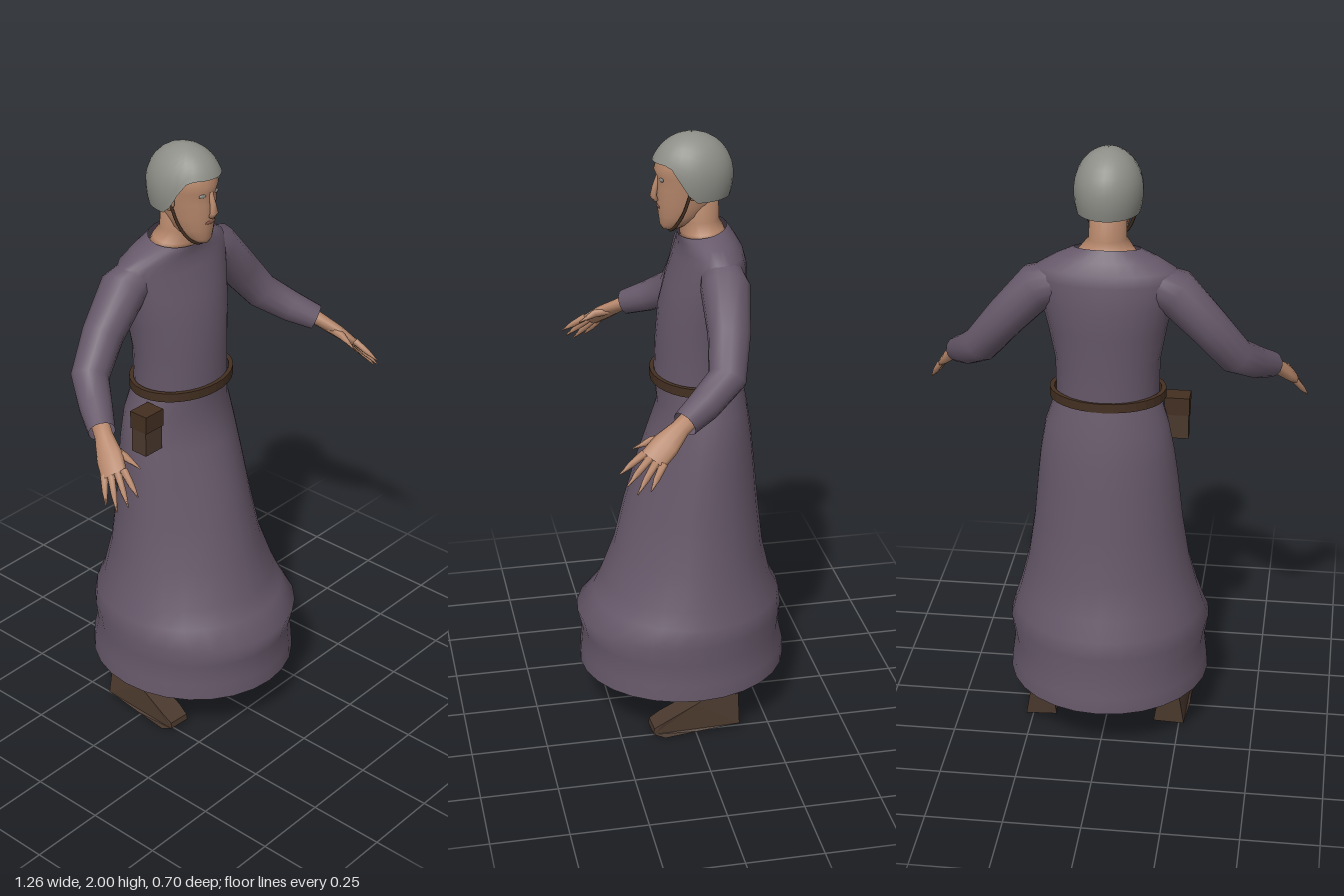
import * as THREE from 'three';

const V = (x, y, z) => new THREE.Vector3(x, y, z);
const mat = (name, color, side = THREE.FrontSide) => {
  const m = new THREE.MeshStandardMaterial({ color, side });
  m.name = name;
  return m;
};

// Skin a list of equal-length point rings, optionally closing both ends
function loft(rings, capped = false) {
  const n = rings[0].length, pos = [], idx = [];
  rings.forEach(r => r.forEach(p => pos.push(p.x, p.y, p.z)));
  for (let i = 0; i < rings.length - 1; i++) {
    for (let j = 0; j < n; j++) {
      const k = (j + 1) % n, a = i * n + j, b = i * n + k;
      idx.push(a, b, b + n, a, b + n, a + n);
    }
  }
  if (capped) {
    [0, rings.length - 1].forEach(i => {
      const c = rings[i].reduce((s, p) => s.add(p), V(0, 0, 0)).divideScalar(n);
      const ci = pos.length / 3;
      pos.push(c.x, c.y, c.z);
      for (let j = 0; j < n; j++) {
        const a = i * n + j, b = i * n + (j + 1) % n;
        if (i === 0) idx.push(ci, b, a); else idx.push(ci, a, b);
      }
    });
  }
  const g = new THREE.BufferGeometry();
  g.setAttribute('position', new THREE.Float32BufferAttribute(pos, 3));
  g.setIndex(idx);
  g.computeVertexNormals();
  return g;
}

// Level body section: half width, front z, back z, back-to-front tilt, front fold depth
function section([y, hx, zf, zb, tilt = 0, fold = 0], n = 28) {
  return Array.from({ length: n }, (_, j) => {
    const a = j / n * Math.PI * 2, s = Math.sin(a);
    const k = s < 0 ? 1 - fold * Math.sin(2 * a) ** 2 : 1;
    return V(hx * k * Math.cos(a), y + tilt * s, (zf + zb) / 2 - (zf - zb) / 2 * k * s);
  });
}
const body = (rows, capped, n) => loft(rows.map(r => section(r, n)), capped);

// Limb along points [x, y, z, radiusAlongSide, radiusAcross]
function limb(pts, side, n, capped) {
  const c = pts.map(p => V(p[0], p[1], p[2]));
  return loft(pts.map((p, i) => {
    const t = c[Math.min(i + 1, c.length - 1)].clone().sub(c[Math.max(i - 1, 0)]).normalize();
    const b = t.clone().cross(side).normalize(), a = b.clone().cross(t);
    return Array.from({ length: n }, (_, j) => {
      const u = j / n * Math.PI * 2;
      return c[i].clone().addScaledVector(a, p[3] * Math.cos(u)).addScaledVector(b, (p[4] ?? p[3]) * Math.sin(u));
    });
  }), capped);
}

export function createModel() {
  const model = new THREE.Group();
  const cloth = mat('plum cloth', 0x665869, THREE.DoubleSide);
  const skin = mat('skin', 0xb5866a);
  const capCloth = mat('grey cap', 0x8d8e87, THREE.DoubleSide);
  const leather = mat('belt leather', 0x432f21);
  const shoeLeather = mat('shoe leather', 0x4a382d);
  const eyeMat = mat('eye grey', 0x8b8a86);
  const lipMat = mat('lips', 0x8a5a4b);
  const add = (name, geo, material, parent = model) => {
    const m = new THREE.Mesh(geo, material);
    m.name = name;
    parent.add(m);
    return m;
  };

  // Long gown
  add('skirt', body([
    [0.165, 0.335, 0.345, -0.35], [0.22, 0.331, 0.342, -0.348], [0.29, 0.322, 0.335, -0.332],
    [0.36, 0.335, 0.352, -0.338], [0.42, 0.318, 0.295, -0.33], [0.48, 0.298, 0.27, -0.3, 0, 0.03],
    [0.6, 0.268, 0.225, -0.272, 0, 0.06], [0.75, 0.245, 0.19, -0.255, 0, 0.08],
    [0.9, 0.23, 0.145, -0.24, 0, 0.08], [1.0, 0.218, 0.11, -0.23, 0, 0.06],
    [1.1, 0.2, 0.075, -0.215, 0, 0.03], [1.2, 0.165, 0.085, -0.195],
  ]), cloth);
  add('bodice', body([
    [1.2, 0.165, 0.085, -0.195], [1.32, 0.168, 0.08, -0.195], [1.43, 0.188, 0.07, -0.205],
    [1.52, 0.208, 0.045, -0.208], [1.6, 0.228, 0.015, -0.2], [1.635, 0.22, 0.005, -0.19],
    [1.665, 0.165, 0.006, -0.17, 0.005], [1.69, 0.105, 0.008, -0.145, 0.015],
  ]), cloth);

  // Belt and pouch
  const band = new THREE.Shape().absellipse(0, 0, 0.187, 0.15, 0, Math.PI * 2);
  band.holes.push(new THREE.Path().absellipse(0, 0, 0.172, 0.137, 0, Math.PI * 2, true));
  const beltGeo = new THREE.ExtrudeGeometry(band, { depth: 0.03, bevelEnabled: false, curveSegments: 16 });
  beltGeo.rotateX(-Math.PI / 2).translate(0, 1.185, -0.052);
  add('belt', beltGeo, leather);
  const pouch = new THREE.Group();
  pouch.name = 'pouch';
  pouch.position.set(-0.22, 1.1, 0);
  model.add(pouch);
  add('pouchBag', new THREE.BoxGeometry(0.076, 0.14, 0.06), shoeLeather, pouch);
  add('pouchFlap', new THREE.BoxGeometry(0.08, 0.06, 0.068), leather, pouch).position.y = 0.043;

  // Head and neck
  add('neck', body([
    [1.66, 0.11, 0.0, -0.15], [1.69, 0.085, 0.0, -0.135, 0.008], [1.72, 0.06, 0.0, -0.122],
    [1.83, 0.058, 0.02, -0.12],
  ], true, 20), skin);
  add('head', body([
    [1.695, 0.022, 0.058, 0.0], [1.71, 0.04, 0.066, -0.03], [1.74, 0.057, 0.07, -0.08],
    [1.78, 0.067, 0.075, -0.115], [1.83, 0.074, 0.076, -0.135], [1.865, 0.078, 0.075, -0.14],
    [1.89, 0.079, 0.084, -0.14], [1.94, 0.07, 0.07, -0.12], [1.97, 0.04, 0.03, -0.08],
  ], true, 20), skin);
  add('nose', limb([
    [0, 1.87, 0.068, 0.008], [0, 1.83, 0.08, 0.01], [0, 1.802, 0.086, 0.015, 0.011],
    [0, 1.787, 0.076, 0.013, 0.008],
  ], V(1, 0, 0), 8, true), skin);
  const lips = add('lips', new THREE.SphereGeometry(1, 10, 6), lipMat);
  lips.scale.set(0.024, 0.006, 0.004);
  lips.position.set(0, 1.768, 0.071);
  for (const s of [-1, 1]) {
    const eye = add('eye', new THREE.SphereGeometry(1, 10, 6), eyeMat);
    eye.scale.set(0.013, 0.006, 0.004);
    eye.position.set(s * 0.032, 1.86, 0.066);
    eye.rotation.y = s * 0.35;
    const ear = add('ear', new THREE.SphereGeometry(1, 10, 8), skin);
    ear.scale.set(0.012, 0.032, 0.02);
    ear.position.set(s * 0.082, 1.835, -0.025);
  }

  // Close-fitting cap: brow edge in front, reaching down over ears and nape
  const capRings = [];
  for (let i = 0; i <= 10; i++) {
    capRings.push(Array.from({ length: 28 }, (_, j) => {
      const a = j / 28 * Math.PI * 2, f = Math.sin(a);
      const edge = 1.8 + 0.115 * THREE.MathUtils.smoothstep(f, 0, 0.75);
      const phi = Math.max(0.01, (1 - i / 10) * Math.acos((edge - 1.87) / 0.13));
      const r = phi < Math.PI / 2 ? Math.sin(phi) : 1 - 0.25 * (phi - Math.PI / 2) ** 2;
      return V(0.108 * r * Math.cos(a), 1.87 + 0.13 * Math.cos(phi), -0.035 + 0.131 * r * f);
    }).reverse());
  }
  add('cap', loft(capRings), capCloth);
  const strap = new THREE.CatmullRomCurve3([
    V(-0.088, 1.83, -0.015), V(-0.073, 1.76, 0.005), V(-0.045, 1.708, 0.028), V(0, 1.688, 0.035),
    V(0.045, 1.708, 0.028), V(0.073, 1.76, 0.005), V(0.088, 1.83, -0.015),
  ]);
  add('chinStrap', new THREE.TubeGeometry(strap, 24, 0.005, 6), leather);

  for (const s of [-1, 1]) {
    // Sleeve
    add('sleeve', limb([
      [0.12, 1.6, -0.1, 0.06], [0.215, 1.565, -0.097, 0.078, 0.074], [0.32, 1.45, -0.087, 0.066],
      [0.405, 1.345, -0.063, 0.06], [0.465, 1.29, 0.02, 0.052], [0.513, 1.255, 0.09, 0.042],
    ].map(([x, ...p]) => [s * x, ...p]), V(0, 0.3, 1), 14), cloth);

    // Hand with spread, pointed fingers
    const hand = new THREE.Group();
    hand.name = 'hand';
    model.add(hand);
    const across = V(s * 0.05, -0.04, -0.085).normalize();
    const part = (name, pts, n) =>
      add(name, limb(pts.map(([x, ...p]) => [s * x, ...p]), across, n, true), skin, hand);
    part('palm', [
      [0.49, 1.275, 0.055, 0.03, 0.028], [0.52, 1.245, 0.105, 0.03, 0.023],
      [0.55, 1.21, 0.155, 0.043, 0.02], [0.577, 1.175, 0.2, 0.043, 0.014],
    ], 10);
    const tips = [[0.58, 1.14, 0.3], [0.605, 1.11, 0.283], [0.625, 1.09, 0.255], [0.63, 1.1, 0.215]];
    tips.forEach((tip, i) => {
      const base = V(0.574, 1.18, 0.195).addScaledVector(V(0.05, -0.04, -0.085).normalize(), (i - 1.5) * 0.022);
      const mid = base.clone().lerp(V(...tip), 0.55);
      part('finger', [[...base.toArray(), 0.013, 0.012], [...mid.toArray(), 0.01], [...tip, 0.002]], 6);
    });
    part('thumb', [[0.53, 1.225, 0.13, 0.016], [0.524, 1.215, 0.195, 0.013], [0.516, 1.19, 0.25, 0.002]], 6);

    // Ankle and shoe
    add('ankle', new THREE.CylinderGeometry(0.036, 0.03, 0.12, 10), skin).position.set(s * 0.225, 0.16, -0.085);
    const profile = new THREE.Shape([[-0.145, 0.02], [0, 0.012], [0.11, 0], [0.148, 0.015], [0.145, 0.035],
      [0.11, 0.055], [0, 0.108], [-0.04, 0.13], [-0.145, 0.125]].map(p => new THREE.Vector2(...p)));
    const shoe = new THREE.ExtrudeGeometry(profile, { depth: 0.11, bevelEnabled: false });
    shoe.translate(0, 0, -0.055).rotateY(-Math.PI / 2);
    const p = shoe.attributes.position;
    for (let i = 0; i < p.count; i++) {
      const toe = Math.max(0, p.getZ(i) - 0.07) * 3.5;
      p.setX(i, p.getX(i) * (1 - 3 * p.getY(i)) * (1 - toe));
    }
    shoe.computeVertexNormals();
    const shoeMesh = add('shoe', shoe, shoeLeather);
    shoeMesh.position.x = s * 0.226;
    shoeMesh.rotation.y = s * 0.06;
  }
  return model;
}
